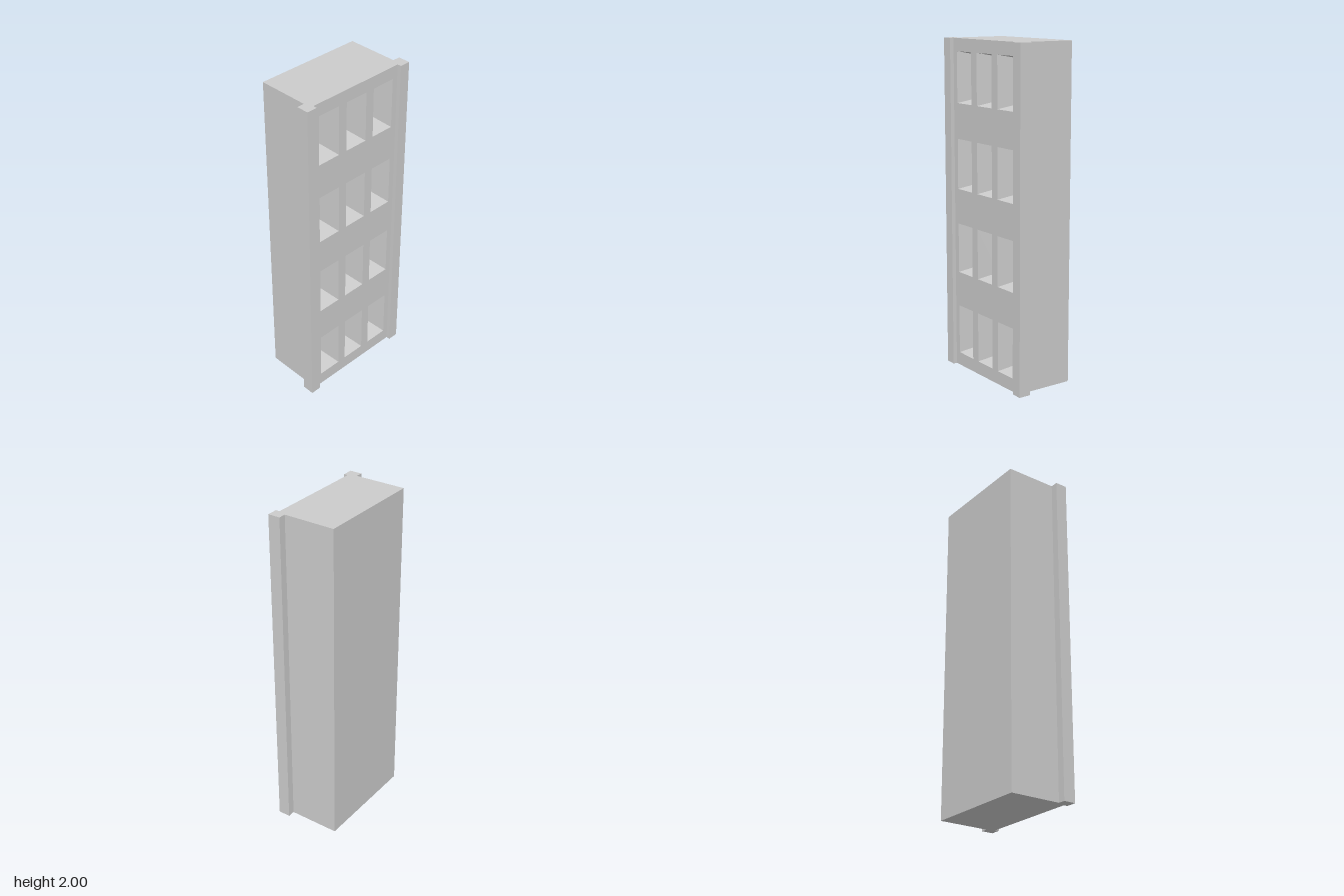
import * as THREE from 'three';

const HEIGHT = 2;
const FACE_Z = 0.17;      // front panel plane
const RECESS_Z = 0.04;    // back of the recesses
const PANEL_X = 0.313;    // half width of the panel between the side strips

// Flat-sided geometry from a list of four-cornered faces (counter-clockwise)
function quads(faces) {
  const pos = [];
  for (const [a, b, c, d] of faces) for (const p of [a, b, c, a, c, d]) pos.push(...p);
  const geo = new THREE.BufferGeometry();
  geo.setAttribute('position', new THREE.Float32BufferAttribute(pos, 3));
  geo.computeVertexNormals();
  return geo;
}

// Corners of an upright rectangle at depth z
const rect = (cx, cy, hw, hh, z) => [
  [cx - hw, cy - hh, z], [cx + hw, cy - hh, z],
  [cx + hw, cy + hh, z], [cx - hw, cy + hh, z],
];

const toPoints = (corners) => corners.map(([x, y]) => new THREE.Vector2(x, y));

export function createModel() {
  const group = new THREE.Group();
  const material = new THREE.MeshStandardMaterial({ color: 0xcccccc });
  const add = (name, geometry) => {
    const mesh = new THREE.Mesh(geometry, material);
    mesh.name = name;
    group.add(mesh);
  };

  // Plan outline (x, z): half profile with the corner strip, then mirrored
  const half = [
    [PANEL_X, FACE_Z], [PANEL_X, 0.194], [0.378, 0.194],
    [0.378, 0.12], [0.333, 0.12], [0.333, -0.194],
  ];
  const plan = [...half, ...half.map(([x, z]) => [-x, z]).reverse()];

  // Side, back and strip walls
  const walls = [];
  for (let i = 0; i < plan.length - 1; i++) {
    const [ax, az] = plan[i], [bx, bz] = plan[i + 1];
    walls.push([[ax, 0, az], [bx, 0, bz], [bx, HEIGHT, bz], [ax, HEIGHT, az]]);
  }
  add('outerWalls', quads(walls));

  // Top and bottom
  const topShape = new THREE.Shape(toPoints(plan.map(([x, z]) => [x, -z])));
  add('roof', new THREE.ShapeGeometry(topShape).rotateX(-Math.PI / 2).translate(0, HEIGHT, 0));
  add('base', new THREE.ShapeGeometry(new THREE.Shape(toPoints(plan))).rotateX(Math.PI / 2));

  // Front panel with a grid of tapered window recesses
  const front = new THREE.Shape(toPoints(rect(0, HEIGHT / 2, PANEL_X, HEIGHT / 2, 0)));
  for (let row = 0; row < 4; row++) {
    for (let col = -1; col <= 1; col++) {
      const cx = col * 0.204, cy = 0.231 + row * 0.514;
      const outer = rect(cx, cy, 0.074, 0.151, FACE_Z);
      const inner = rect(cx, cy, 0.051, 0.127, RECESS_Z);
      front.holes.push(new THREE.Path(toPoints(outer).reverse()));
      const faces = [inner];
      for (let i = 0; i < 4; i++) {
        const j = (i + 1) % 4;
        faces.push([outer[i], outer[j], inner[j], inner[i]]);
      }
      add(`windowRecess_${row + 1}_${col + 2}`, quads(faces));
    }
  }
  add('frontPanel', new THREE.ShapeGeometry(front).translate(0, 0, FACE_Z));

  return group;
}
